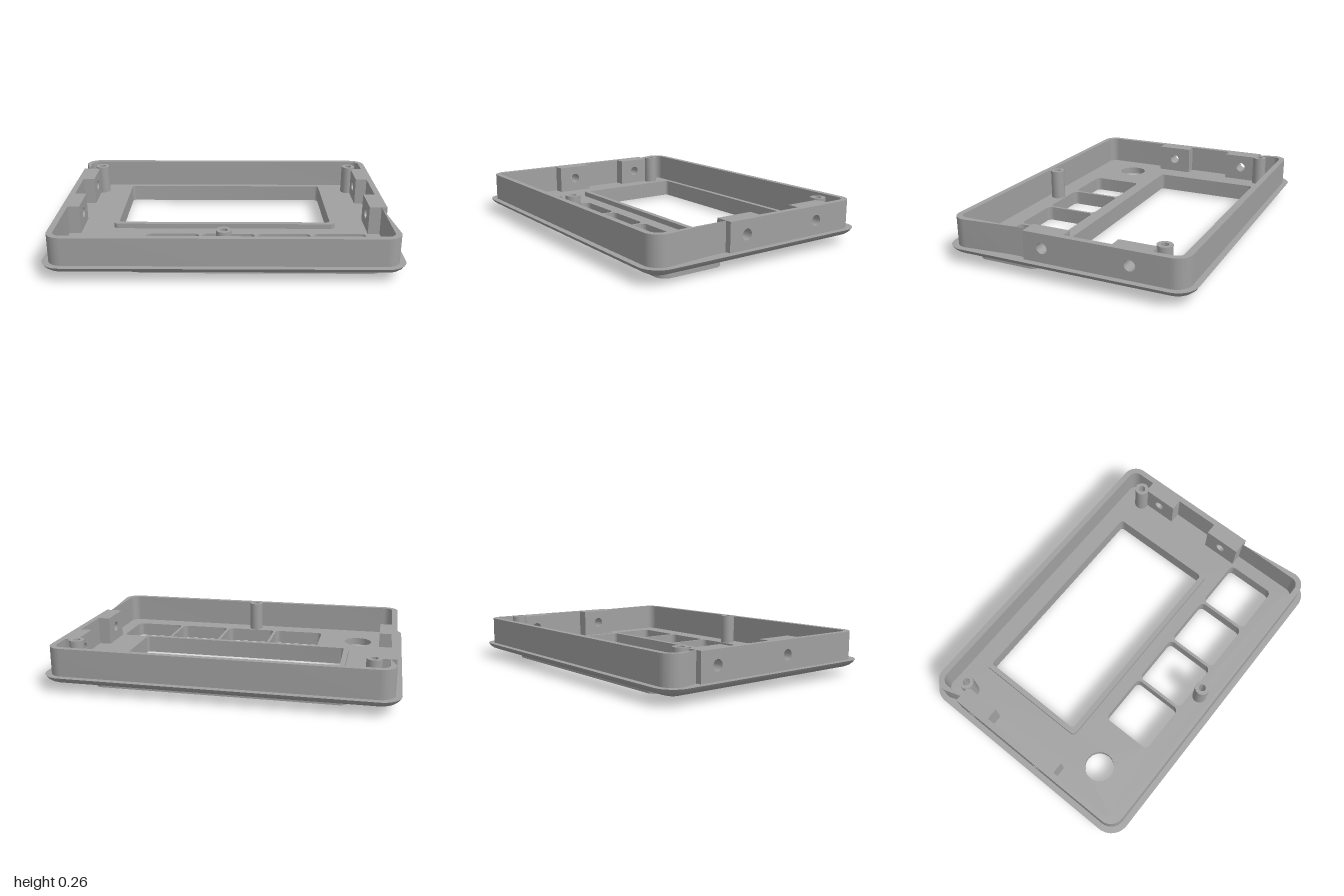
import * as THREE from 'three';
import { toCreasedNormals } from 'three/addons/utils/BufferGeometryUtils.js';

const grey = new THREE.MeshStandardMaterial({ color: 0xa0a0a0 });
grey.name = 'housing grey';

// Rounded rectangle outline in (x, z)
function roundRect(Target, x0, x1, z0, z1, r) {
  const s = new Target();
  s.moveTo(x1, z0 + r);
  s.lineTo(x1, z1 - r);
  s.absarc(x1 - r, z1 - r, r, 0, Math.PI / 2);
  s.absarc(x0 + r, z1 - r, r, Math.PI / 2, Math.PI);
  s.absarc(x0 + r, z0 + r, r, Math.PI, Math.PI * 1.5);
  s.absarc(x1 - r, z0 + r, r, Math.PI * 1.5, Math.PI * 2);
  return s;
}

function circle(x, z, r) {
  return new THREE.Path().absarc(x, z, r, 0, Math.PI * 2);
}

// Extrude an (x, z) outline from height y0 to y1
function slab(shape, y0, y1) {
  const g = new THREE.ExtrudeGeometry(shape, { depth: y1 - y0, bevelEnabled: false, curveSegments: 10 });
  g.rotateX(Math.PI / 2).translate(0, y1, 0);
  return toCreasedNormals(g, 0.6);
}

// Sweep a closed [inset, y] profile around the rounded outer outline
function rimGeometry(profile, w, d, r) {
  const n = 10, pos = [], idx = [], cols = 4 * (n + 1), rows = profile.length;
  for (const [inset, y] of profile) {
    for (let q = 0; q < 4; q++) {
      const sx = q === 0 || q === 3 ? 1 : -1, sz = q < 2 ? 1 : -1;
      for (let i = 0; i <= n; i++) {
        const a = (q + i / n) * Math.PI / 2, k = r - inset;
        pos.push(sx * (w - r) + k * Math.cos(a), y, sz * (d - r) + k * Math.sin(a));
      }
    }
  }
  for (let j = 0; j < rows; j++) {
    for (let i = 0; i < cols; i++) {
      const j2 = (j + 1) % rows, i2 = (i + 1) % cols;
      const a = j * cols + i, b = j * cols + i2, c = j2 * cols + i2, e = j2 * cols + i;
      idx.push(a, c, b, a, e, c);
    }
  }
  const g = new THREE.BufferGeometry();
  g.setAttribute('position', new THREE.Float32BufferAttribute(pos, 3));
  g.setIndex(idx);
  return toCreasedNormals(g, 0.6);
}

// U-shaped wall: one long side, two round corners and short returns ending at z = c
function wallEnd(c) {
  const W = 0.965, D = 0.69, w = 0.93, d = 0.655, R = 0.085, r = 0.05, P = Math.PI;
  const s = new THREE.Shape();
  s.moveTo(W, c);
  s.absarc(W - R, D - R, R, 0, P / 2);
  s.absarc(-W + R, D - R, R, P / 2, P);
  s.lineTo(-W, c);
  s.lineTo(-w, c);
  s.absarc(-w + r, d - r, r, P, P / 2, true);
  s.absarc(w - r, d - r, r, P / 2, 0, true);
  s.lineTo(w, c);
  return slab(s, 0.085, 0.255);
}

// Side block with a round cross hole, spanning z0 to z1
function sideBlock(z0, z1) {
  const s = new THREE.Shape();
  s.moveTo(z0, 0.085);
  s.lineTo(z1, 0.085);
  s.lineTo(z1, 0.255);
  s.lineTo(z0, 0.255);
  s.holes.push(circle((z0 + z1) / 2, 0.173, 0.031));
  const g = new THREE.ExtrudeGeometry(s, { depth: 0.105, bevelEnabled: false, curveSegments: 16 });
  g.rotateY(-Math.PI / 2).translate(0.0525, 0, 0);
  return toCreasedNormals(g, 0.6);
}

export function createModel() {
  const model = new THREE.Group();
  const add = (name, geometry) => {
    const m = new THREE.Mesh(geometry, grey);
    m.name = name;
    model.add(m);
    return m;
  };

  const windowHole = () => roundRect(THREE.Path, -0.645, 0.645, -0.537, 0.118, 0.02);
  const buttonHoles = () => [0, 1, 2, 3].map((i) => {
    const x = -0.465 + i * 0.332;
    return roundRect(THREE.Path, x, x + 0.314, 0.23, 0.54, 0.03);
  });

  // Floor plate with window, button and knob openings
  const floor = roundRect(THREE.Shape, -0.9, 0.9, -0.625, 0.625, 0.015);
  floor.holes.push(windowHole(), ...buttonHoles(), circle(-0.72, 0.385, 0.087));
  add('floorPlate', slab(floor, 0.04, 0.085));

  // Curved outer flange
  add('flange', rimGeometry([
    [0.1, 0.04], [0.076, 0.044], [0.052, 0.051], [0.03, 0.061], [0.012, 0.075], [0, 0.092],
    [0.06, 0.092], [0.06, 0.085], [0.1, 0.085],
  ], 1, 0.725, 0.115));

  // Window frame: low outer frame and raised inner lip
  const outerFrame = roundRect(THREE.Shape, -0.72, 0.72, -0.6, 0.188, 0.05);
  outerFrame.holes.push(windowHole());
  add('windowFrame', slab(outerFrame, 0.012, 0.04));
  const lip = roundRect(THREE.Shape, -0.675, 0.675, -0.568, 0.15, 0.03);
  lip.holes.push(windowHole());
  add('windowLip', slab(lip, 0.085, 0.115));

  // Button frame
  const buttons = roundRect(THREE.Shape, -0.51, 0.885, 0.19, 0.588, 0.06);
  buttons.holes.push(...buttonHoles());
  add('buttonFrame', slab(buttons, 0, 0.04));

  // Perimeter wall
  add('frontWall', wallEnd(0.225));
  add('backWall', wallEnd(0.5)).rotation.y = Math.PI;
  for (const side of [-1, 1]) {
    add('sideWall', new THREE.BoxGeometry(0.035, 0.17, 0.28)).position.set(side * 0.9475, 0.17, -0.14);
    for (const [z0, z1] of [[-0.5, -0.28], [0, 0.225]]) {
      add('sideBlock', sideBlock(z0, z1)).position.x = side * 0.9125;
    }
  }

  // Screw posts with blind holes
  const post = toCreasedNormals(new THREE.LatheGeometry([
    [0.043, 0.085], [0.043, 0.265], [0.021, 0.265], [0.021, 0.12], [0, 0.12],
  ].map(([x, y]) => new THREE.Vector2(x, y)), 24), 0.6);
  for (const [x, z] of [[-0.845, -0.527], [0.845, -0.527], [0, 0.59]]) {
    add('screwPost', post).position.set(x, 0, z);
  }
  return model;
}
